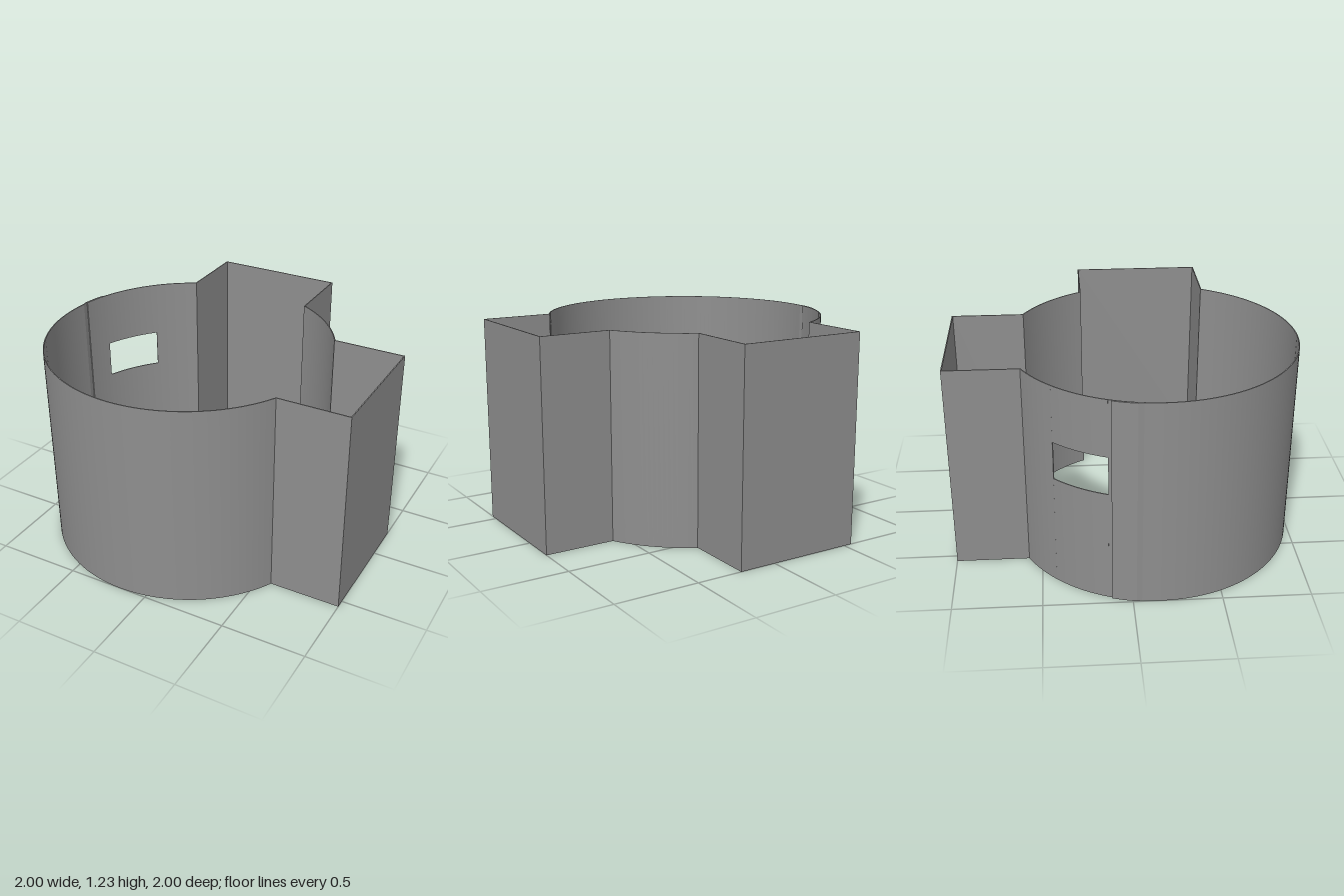
import * as THREE from 'three';
import { toCreasedNormals } from 'three/addons/utils/BufferGeometryUtils.js';

const H = 1.23, T = 0.006;            // height and sheet thickness
const R = 0.834, LAP_R = R + 0.008;   // drum wall and seam lap (middle of the sheet)
const CX = -0.163, CZ = 0.163;        // drum axis
const HALF = 0.385, END = 1 - T / 2;  // half width of a bay, distance of its end
const A = THREE.MathUtils.radToDeg(Math.asin(HALF / R)); // half angle of a bay opening
const material = new THREE.MeshStandardMaterial({ color: 0x8e8e8e });

// Plan points [x, z] along the drum; angles in degrees from +z towards +x
function arc(from, to, r = R) {
  const steps = Math.max(2, Math.ceil((to - from) / 2));
  return Array.from({ length: steps + 1 }, (_, i) => {
    const t = THREE.MathUtils.degToRad(from + (to - from) * i / steps);
    return new THREE.Vector2(CX + r * Math.sin(t), CZ + r * Math.cos(t));
  });
}

// Thin upright sheet that follows a plan path, with mitred corners
function sheet(parent, name, path, y0 = 0, y1 = H) {
  const normal = (a, b) => new THREE.Vector2(b.y - a.y, a.x - b.x).normalize();
  const outer = [], inner = [];
  path.forEach((p, i) => {
    const n1 = normal(path[Math.max(i - 1, 0)], path[Math.max(i, 1)]);
    const n2 = i < path.length - 1 ? normal(p, path[i + 1]) : n1;
    const m = n1.clone().add(n2).multiplyScalar(T / 2 / (1 + n1.dot(n2)));
    outer.push(new THREE.Vector2(p.x + m.x, -p.y - m.y));
    inner.unshift(new THREE.Vector2(p.x - m.x, -p.y + m.y));
  });
  const shape = new THREE.Shape([...outer, ...inner]);
  const geo = new THREE.ExtrudeGeometry(shape, { depth: y1 - y0, bevelEnabled: false });
  geo.rotateX(-Math.PI / 2);
  geo.translate(0, y0, 0);
  const mesh = new THREE.Mesh(toCreasedNormals(geo, 0.2), material);
  mesh.name = name;
  parent.add(mesh);
}

export function createModel() {
  const model = new THREE.Group();
  model.name = 'openSleeve';

  // Outer corners of the two rectangular bays
  const rightBay = [new THREE.Vector2(END, CZ + HALF), new THREE.Vector2(END, CZ - HALF)];
  const backBay = [new THREE.Vector2(CX + HALF, -END), new THREE.Vector2(CX - HALF, -END)];

  // One long wall: seam lap, front, right bay, corner, back bay, up to the window
  const w0 = 226, w1 = 249.4;
  sheet(model, 'wrappedWall', [
    ...arc(250.8, 260.2, LAP_R),
    ...arc(262.2, 450 - A),
    ...rightBay,
    ...arc(90 + A, 180 - A),
    ...backBay,
    ...arc(180 + A, w0),
  ]);

  // Window strips and the wall end tucked under the seam lap
  sheet(model, 'wallBelowWindow', arc(w0, w1), 0, 0.67);
  sheet(model, 'wallAboveWindow', arc(w0, w1), 0.895, H);
  sheet(model, 'tuckedWallEnd', arc(w1, 260));

  return model;
}
